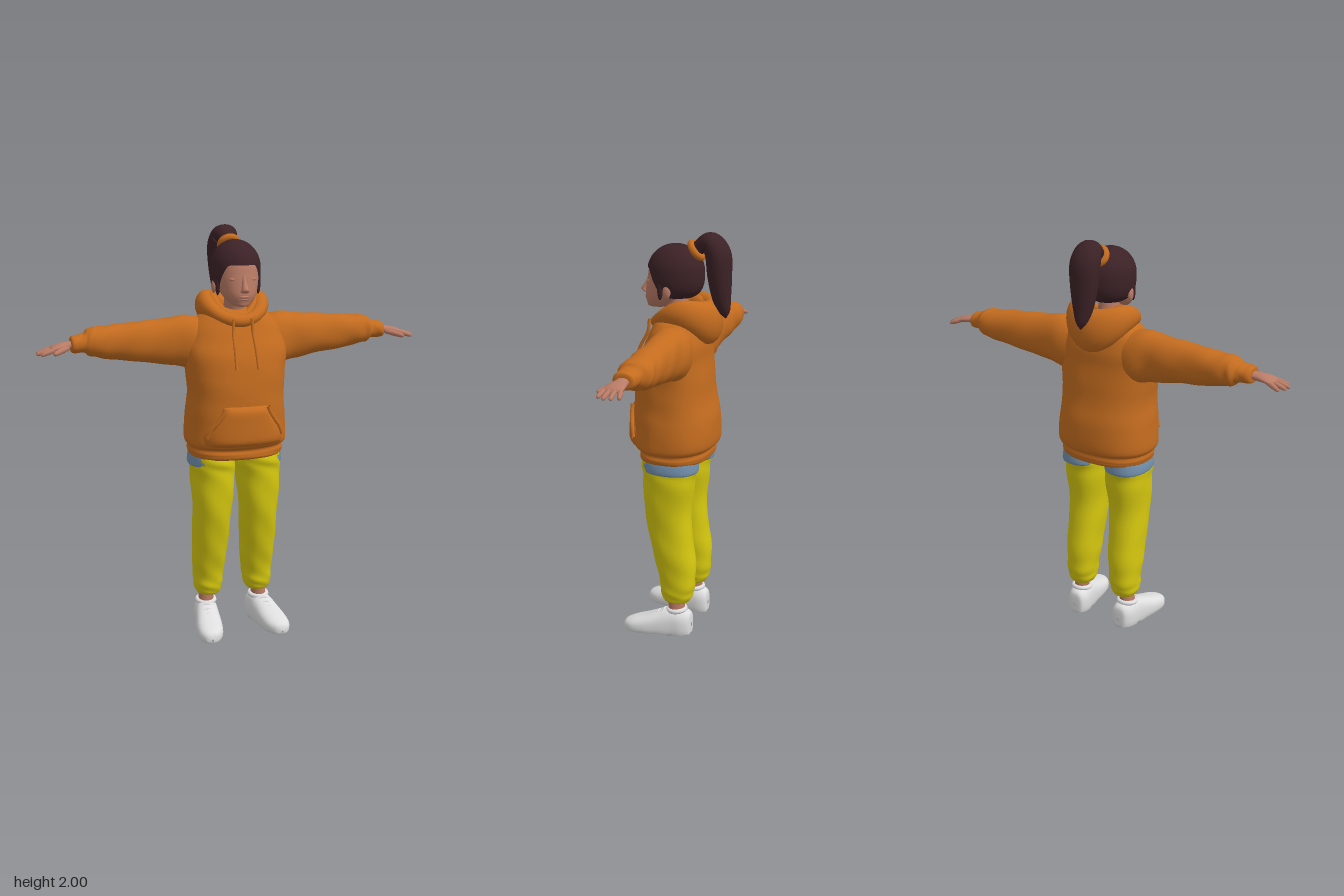
import * as THREE from 'three';
import { ParametricGeometry } from 'three/addons/geometries/ParametricGeometry.js';

const material = (name, color, side = THREE.FrontSide) => {
  const m = new THREE.MeshStandardMaterial({ color, side });
  m.name = name;
  return m;
};

// Smooth interpolation through rows of numbers, t from 0 to 1
function spline(rows, t) {
  const n = rows.length - 1, f = Math.min(Math.max(t, 0), 1) * n;
  const i = Math.min(Math.floor(f), n - 1), k = f - i;
  const [a, b, c, d] = [-1, 0, 1, 2].map(o => rows[Math.min(Math.max(i + o, 0), n)]);
  return b.map((p, j) => p + 0.5 * k * (c[j] - a[j]
    + k * (2 * a[j] - 5 * p + 4 * c[j] - d[j] + k * (3 * (p - c[j]) + d[j] - a[j]))));
}

// Radius of a unit superellipse at an angle
const superR = (a, n) => Math.pow(Math.abs(Math.cos(a)) ** n + Math.abs(Math.sin(a)) ** n, -1 / n);

// Skin over stations [x, y, z, radius along ref, radius across]; rings face axis, or follow the path
function loft(rows, { ref, axis = null, n = 2, seg = 28, steps = 5, fold = 0, floor = -1 }) {
  const T = new THREE.Vector3(), U = new THREE.Vector3(), V = new THREE.Vector3();
  return new ParametricGeometry((u, v, out) => {
    const [x, y, z, ru, rv] = spline(rows, v);
    if (axis) T.copy(axis);
    else {
      const p = spline(rows, v - 0.01), q = spline(rows, v + 0.01);
      T.set(q[0] - p[0], q[1] - p[1], q[2] - p[2]).normalize();
    }
    U.copy(ref).addScaledVector(T, -ref.dot(T)).normalize();
    V.crossVectors(T, U);
    const a = u * Math.PI * 2;
    const r = superR(a, n) * (1 + fold * Math.sin(v * 42 + 2 * Math.sin(a + 1)) * Math.sin(a * 2 + v * 9));
    out.set(x, y, z).addScaledVector(U, Math.cos(a) * r * Math.max(ru, 0.001))
      .addScaledVector(V, Math.sin(a) * r * Math.max(rv, 0.001));
    out.y = Math.max(out.y, floor);
  }, seg, steps * (rows.length - 1));
}

const X = new THREE.Vector3(1, 0, 0), Y = new THREE.Vector3(0, 1, 0), Z = new THREE.Vector3(0, 0, 1);

const TORSO = [
  [0, 0.9, 0.015, 0.15, 0.1], [0, 0.905, 0.015, 0.218, 0.162], [0, 0.93, 0.013, 0.234, 0.173],
  [0, 0.955, 0.013, 0.232, 0.17], [0, 0.985, 0.015, 0.247, 0.198], [0, 1.1, 0.016, 0.243, 0.199],
  [0, 1.2, 0.024, 0.234, 0.187], [0, 1.3, 0.027, 0.239, 0.178], [0, 1.4, 0.022, 0.25, 0.163],
  [0, 1.48, 0.007, 0.24, 0.145], [0, 1.55, 0, 0.205, 0.122], [0, 1.6, 0, 0.14, 0.095], [0, 1.625, 0, 0.04, 0.03]];

// Front surface of the hoodie at a given x and y
function chestZ(x, y) {
  let lo = 0, hi = 1;
  for (let i = 0; i < 24; i++) {
    const m = (lo + hi) / 2;
    if (spline(TORSO, m)[1] < y) lo = m; else hi = m;
  }
  const [, , z, rx, rz] = spline(TORSO, lo);
  return z + rz * Math.pow(Math.max(0, 1 - Math.abs(x / rx) ** 2.4), 1 / 2.4);
}

// Loop of fabric around the neck, growing thicker towards the back
function hoodRing(size, lift, thick) {
  return new ParametricGeometry((u, v, out) => {
    const b = u * Math.PI * 2, a = v * Math.PI * 2, k = (1 - Math.cos(a)) / 2;
    const r = thick * (0.03 + 0.03 * k) * Math.cos(b);
    out.set(Math.sin(a) * (0.132 * size + r),
      1.565 + lift + 0.06 * Math.sin(Math.PI * k) + 0.012 * k - thick * (0.03 + 0.075 * k ** 1.5) * Math.sin(b),
      -0.015 + Math.cos(a) * (0.128 * size + r));
  }, 20, 56);
}

// Hair shell with a hairline that drops from the forehead to the nape, tucked in at its edge
function hairCap() {
  return new ParametricGeometry((u, v, out) => {
    const a = -u * Math.PI * 2, fromFront = Math.min(u, 1 - u) * Math.PI * 2;
    const edge = 1.83 - 0.14 * THREE.MathUtils.smoothstep(fromFront, 0.55, 1.4);
    const s = Math.min(v / 0.9, 1), top = Math.PI / 2;
    const low = Math.asin((edge - 1.81) / 0.13), e = top + (low - top) * s;
    const h = Math.sin(e), n = h > 0 ? 2 : 3;
    const r = Math.max(0.01, Math.pow(1 - Math.abs(h) ** n, 1 / n)) * (1 - 0.3 * Math.max(0, v - 0.9) / 0.1);
    out.set(0.119 * r * Math.sin(a), 1.81 + 0.13 * h, 0.025 + 0.138 * r * Math.cos(a));
  }, 48, 30);
}

export function createModel() {
  const model = new THREE.Group();
  const hoodie = material('orange cloth', 0xc46c1f, THREE.DoubleSide);
  const skin = material('skin', 0xb97b65);
  const hair = material('dark brown hair', 0x3c2226, THREE.DoubleSide);
  const yellow = material('yellow cloth', 0xd6c80f);
  const blue = material('blue cloth', 0x7290ad);
  const white = material('white shoe', 0xdedede);

  const add = (name, geometry, mat, parent = model) => {
    const mesh = new THREE.Mesh(geometry, mat);
    mesh.name = name;
    parent.add(mesh);
    return mesh;
  };
  const blob = (name, mat, pos, scale) => {
    const mesh = add(name, new THREE.SphereGeometry(1, 20, 14), mat);
    mesh.position.set(...pos);
    mesh.scale.set(...scale);
    return mesh;
  };
  const tube = (name, pts, r, mat) => add(name, new THREE.TubeGeometry(
    new THREE.CatmullRomCurve3(pts.map(p => new THREE.Vector3(...p))), 20, r, 8), mat);

  // Hoodie body, hood and collar
  add('hoodieBody', loft(TORSO, { ref: X, axis: Y, n: 2.4, seg: 48, fold: 0.007 }), hoodie);
  add('hood', hoodRing(1, 0, 1), hoodie);
  add('hoodInnerRim', hoodRing(0.76, 0.018, 0.62), hoodie);

  // Front pocket, following the belly
  const pocketHalf = v => 0.2 - 0.085 * THREE.MathUtils.smoothstep(v, 0.2, 1);
  add('pocket', new ParametricGeometry((u, v, out) => {
    const k = u * 2 - 1, w = v * 2 - 1, x = k * pocketHalf(v), y = 0.975 + 0.2 * v;
    out.set(x, y, chestZ(x, y) - 0.004 + 0.03 * (1 - k ** 8) * (1 - w ** 8));
  }, 32, 20), hoodie);

  // Head
  add('head', loft([
    [0, 1.635, 0.11, 0.005, 0.005], [0, 1.64, 0.115, 0.035, 0.045], [0, 1.66, 0.1, 0.06, 0.068],
    [0, 1.69, 0.078, 0.08, 0.096], [0, 1.73, 0.052, 0.095, 0.118], [0, 1.78, 0.035, 0.103, 0.127],
    [0, 1.84, 0.028, 0.1, 0.12], [0, 1.89, 0.025, 0.075, 0.085], [0, 1.91, 0.025, 0.005, 0.005]],
  { ref: X, axis: Y, n: 2.15, seg: 36 }), skin);
  add('neck', loft([[0, 1.52, 0.0, 0.06, 0.06], [0, 1.6, 0.01, 0.052, 0.055], [0, 1.7, 0.03, 0.052, 0.06]],
    { ref: X, axis: Y }), skin);
  add('nose', loft([[0, 1.7, 0.165, 0.004, 0.004], [0, 1.708, 0.174, 0.021, 0.018], [0, 1.722, 0.18, 0.017, 0.021],
    [0, 1.75, 0.166, 0.011, 0.015], [0, 1.785, 0.155, 0.008, 0.008]], { ref: X, axis: Y, seg: 16 }), skin);
  blob('upperLip', skin, [0, 1.685, 0.167], [0.026, 0.007, 0.012]);
  blob('lowerLip', skin, [0, 1.673, 0.163], [0.022, 0.008, 0.012]);

  // Hair, tie and ponytail
  add('hairCap', hairCap(), hair);
  add('ponytail', loft([
    [0, 1.89, -0.05, 0.03, 0.03], [0, 1.93, -0.095, 0.042, 0.036], [0, 1.95, -0.145, 0.064, 0.049],
    [0, 1.895, -0.182, 0.074, 0.06], [0, 1.8, -0.19, 0.068, 0.057], [0, 1.7, -0.2, 0.05, 0.045],
    [0, 1.635, -0.215, 0.028, 0.028], [0, 1.6, -0.222, 0.002, 0.002]], { ref: X, steps: 7 }), hair);
  const tie = add('hairTie', new THREE.TorusGeometry(0.04, 0.017, 12, 28), hoodie);
  tie.position.set(0, 1.912, -0.076);
  tie.lookAt(0, 1.912 + 0.6, -0.076 - 0.8);

  for (const s of [1, -1]) {
    const side = s > 0 ? 'left' : 'right';
    const dir = X.clone().multiplyScalar(s);
    const flip = rows => rows.map(([x, ...rest]) => [s * x, ...rest]);

    // Face and ear details
    blob(side + 'Ear', skin, [s * 0.108, 1.725, 0.035], [0.012, 0.032, 0.02]);
    blob(side + 'Eyelid', skin, [s * 0.043, 1.765, 0.143], [0.022, 0.01, 0.012]);
    blob(side + 'Sideburn', hair, [s * 0.1, 1.74, 0.07], [0.011, 0.055, 0.014]);

    // Sleeve with gathered cuff
    add(side + 'Sleeve', loft(flip([
      [0.08, 1.46, -0.015, 0.1, 0.09], [0.2, 1.455, -0.018, 0.127, 0.102], [0.31, 1.465, -0.024, 0.114, 0.086],
      [0.45, 1.468, -0.028, 0.096, 0.08], [0.58, 1.472, -0.032, 0.083, 0.077], [0.66, 1.476, -0.034, 0.071, 0.076],
      [0.7, 1.478, -0.033, 0.064, 0.072], [0.722, 1.477, -0.027, 0.046, 0.058], [0.75, 1.475, -0.022, 0.042, 0.054],
      [0.783, 1.472, -0.02, 0.036, 0.046], [0.786, 1.472, -0.02, 0.002, 0.002]]),
    { ref: Y, axis: dir, n: 2.2, seg: 32, fold: 0.03 }), hoodie);

    // Hand: palm, four fingers and thumb
    add(side + 'Palm', loft(flip([
      [0.75, 1.473, -0.02, 0.022, 0.028], [0.8, 1.47, -0.018, 0.019, 0.031], [0.84, 1.466, -0.013, 0.017, 0.042],
      [0.875, 1.458, -0.01, 0.013, 0.044], [0.89, 1.455, -0.01, 0.002, 0.02]]), { ref: Y, axis: dir }), skin);
    const finger = (name, [ax, ay, az], [bx, by, bz], r) => {
      const at = (t, k) => [ax + (bx - ax) * t, ay + (by - ay) * t + 0.006 * t * (1 - t), az + (bz - az) * t, r * k, r * k];
      add(name, loft(flip([at(0, 0.8), at(0.4, 1), at(0.8, 0.85), at(0.95, 0.6), at(1, 0.05)]),
        { ref: Y, seg: 10, steps: 3 }), skin);
    };
    [0.925, 0.945, 0.948, 0.93].forEach((tip, i) => finger(side + 'Finger' + (i + 1),
      [0.86, 1.459, -0.043 + 0.022 * i], [tip, 1.437, -0.06 + 0.032 * i], 0.0115));
    finger(side + 'Thumb', [0.8, 1.462, 0.005], [0.875, 1.442, 0.06], 0.014);

    // Trouser leg, undershirt edge and ankle
    add(side + 'TrouserLeg', loft(flip([
      [0.13, 0.165, -0.025, 0.03, 0.03], [0.13, 0.175, -0.025, 0.056, 0.062], [0.13, 0.21, -0.025, 0.069, 0.08],
      [0.128, 0.27, -0.027, 0.074, 0.088], [0.125, 0.4, -0.012, 0.084, 0.102], [0.12, 0.6, 0.022, 0.092, 0.113],
      [0.117, 0.8, 0.02, 0.106, 0.128], [0.117, 0.88, 0.018, 0.108, 0.135], [0.117, 0.94, 0.018, 0.1, 0.13]]),
    { ref: X, axis: Y, n: 2.25, seg: 32, steps: 7, fold: 0.025 }), yellow);
    add(side + 'UndershirtEdge', loft(flip([
      [0.125, 0.858, 0.008, 0.09, 0.11], [0.125, 0.862, 0.008, 0.107, 0.134], [0.124, 0.9, 0.01, 0.107, 0.136],
      [0.12, 0.94, 0.01, 0.1, 0.13]]), { ref: X, axis: Y, n: 2.25, seg: 32 }), blue);
    add(side + 'Ankle', loft(flip([[0.145, 0.08, -0.025, 0.04, 0.045], [0.135, 0.19, -0.025, 0.036, 0.04]]),
      { ref: X, axis: Y }), skin);

    // Shoe with flat sole, collar and laces
    add(side + 'Shoe', loft(flip([
      [0.133, 0.05, -0.102, 0.01, 0.01], [0.134, 0.05, -0.096, 0.04, 0.062], [0.138, 0.05, -0.06, 0.058, 0.08],
      [0.145, 0.05, 0, 0.061, 0.085], [0.155, 0.045, 0.06, 0.064, 0.07], [0.166, 0.035, 0.13, 0.067, 0.054],
      [0.174, 0.028, 0.19, 0.06, 0.042], [0.179, 0.024, 0.23, 0.035, 0.028], [0.181, 0.02, 0.242, 0.005, 0.005]]),
    { ref: X, axis: Z, n: 2.5, seg: 32, floor: 0 }), white);
    const collar = add(side + 'ShoeCollar', new THREE.TorusGeometry(0.043, 0.012, 10, 24), white);
    collar.position.set(s * 0.14, 0.128, -0.026);
    collar.rotation.x = Math.PI / 2 + 0.1;
    for (let i = 0; i < 3; i++) {
      const z = 0.035 + 0.03 * i, x = 0.151 + 0.005 * i, y = 0.126 - 0.014 * i;
      tube(side + 'Lace' + (i + 1), flip([[x - 0.035, y - 0.014, z], [x, y, z], [x + 0.035, y - 0.014, z]]), 0.006, white);
    }

    // Drawstring and pocket opening seam
    const cord = [1.58, 1.52, 1.45, 1.35].map((y, i) =>
      [s * (0.045 + 0.003 * i), y, i ? chestZ(0.05, y) + 0.012 + 0.006 * i : 0.145]);
    tube(side + 'Drawstring', cord, 0.008, hoodie);
    tube(side + 'PocketSeam', [0.25, 0.45, 0.65, 0.85, 0.97].map(v => {
      const x = pocketHalf(v) * 0.93, y = 0.975 + 0.2 * v;
      return [s * x, y, chestZ(x, y) + 0.012];
    }), 0.011, hoodie);
  }
  return model;
}
